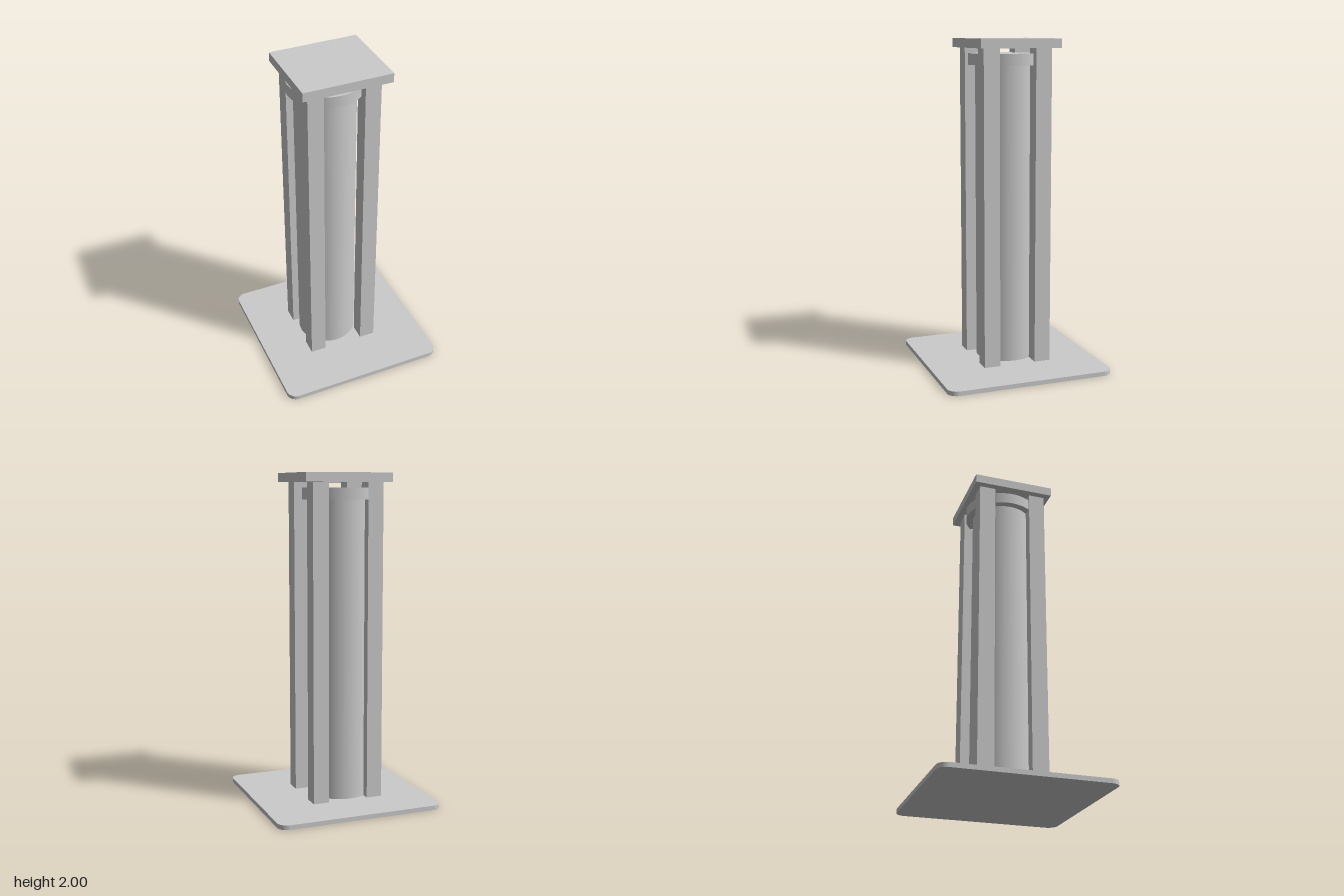
import * as THREE from 'three';

const material = new THREE.MeshStandardMaterial({ color: 0xcccccc });

export function createModel() {
  const model = new THREE.Group();
  model.name = 'pedestal';

  const add = (name, geometry, x, y, z) => {
    const mesh = new THREE.Mesh(geometry, material);
    mesh.name = name;
    mesh.position.set(x, y, z);
    model.add(mesh);
    return mesh;
  };

  // Rounded floor plate
  const half = 0.515, r = 0.06, baseTop = 0.027;
  const outline = new THREE.Shape();
  outline.absarc(half - r, half - r, r, 0, Math.PI / 2);
  outline.absarc(r - half, half - r, r, Math.PI / 2, Math.PI);
  outline.absarc(r - half, r - half, r, Math.PI, Math.PI * 1.5);
  outline.absarc(half - r, r - half, r, Math.PI * 1.5, Math.PI * 2);
  const plate = new THREE.ExtrudeGeometry(outline, { depth: baseTop, bevelEnabled: false, curveSegments: 12 });
  plate.rotateX(-Math.PI / 2);
  add('basePlate', plate, 0, 0, 0);

  // Four square corner posts
  const topBottom = 1.945;
  const postHeight = topBottom - baseTop;
  for (const [xName, x] of [['right', -0.19], ['left', 0.157]]) {
    for (const [zName, z] of [['Front', 0.148], ['Back', -0.178]]) {
      add(`${xName}${zName}Post`, new THREE.BoxGeometry(0.097, postHeight, 0.1), x, baseTop + postHeight / 2, z);
    }
  }

  // Round column with its wider cap, set slightly off centre
  const cx = -0.04, cz = -0.025, capBottom = 1.843, capTop = 1.912;
  const columnHeight = capBottom - baseTop;
  add('column', new THREE.CylinderGeometry(0.182, 0.182, columnHeight, 64), cx, baseTop + columnHeight / 2, cz);
  add('columnCap', new THREE.CylinderGeometry(0.225, 0.225, capTop - capBottom, 64), cx, (capTop + capBottom) / 2, cz);

  // Top slab resting on the posts
  add('topSlab', new THREE.BoxGeometry(0.54, 2 - topBottom, 0.5), -0.009, (2 + topBottom) / 2, -0.017);

  return model;
}
